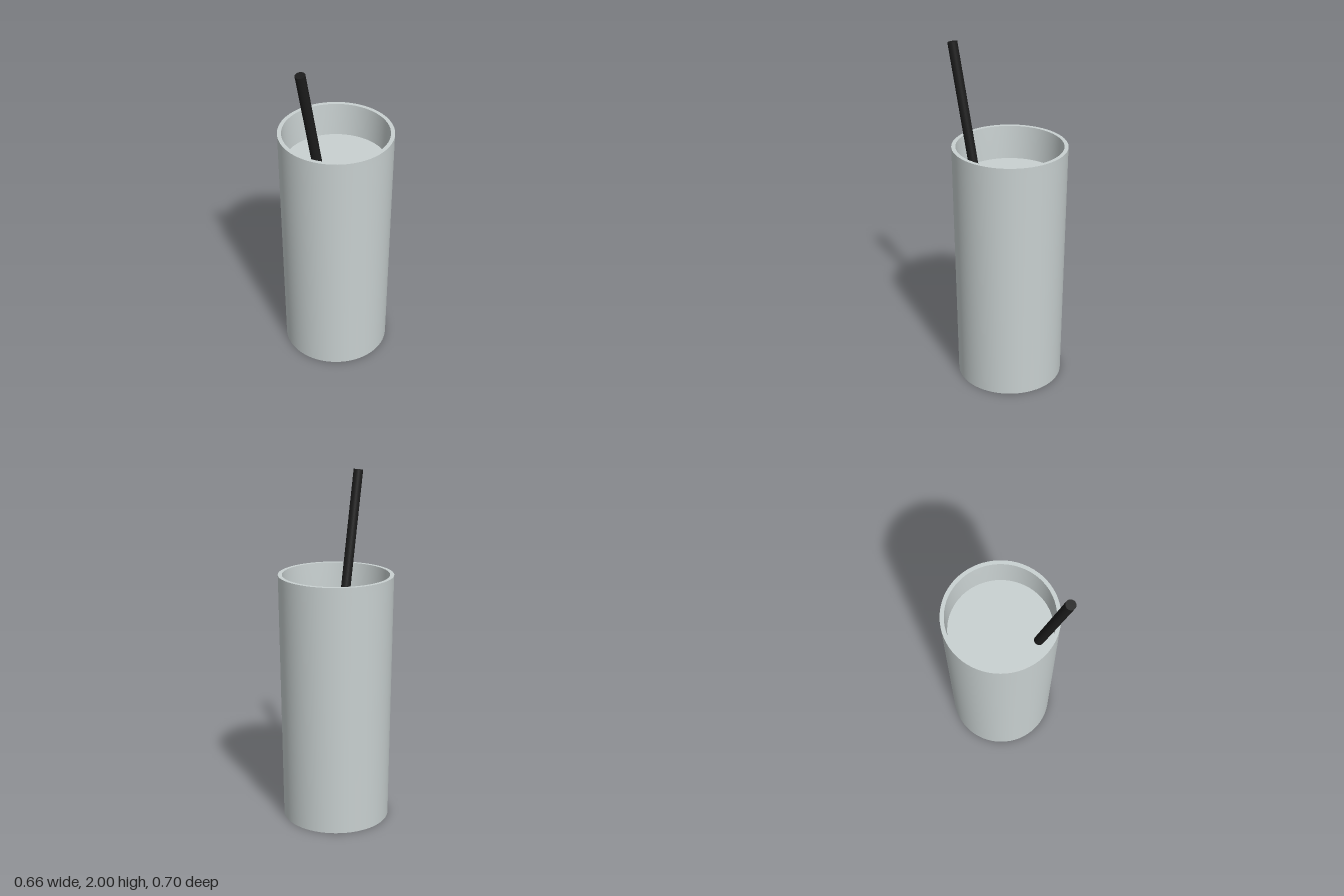
import * as THREE from 'three';
import { toCreasedNormals } from 'three/addons/utils/BufferGeometryUtils.js';

const SIDES = 64;
const CENTRE_Z = -0.022;
const LIQUID_Y = 1.255;

export function createModel() {
  const model = new THREE.Group();
  model.name = 'drinkingCup';

  const paleGrey = new THREE.MeshStandardMaterial({ color: 0xc9d1d1 });
  paleGrey.name = 'pale grey';
  const black = new THREE.MeshStandardMaterial({ color: 0x1c1c1c });
  black.name = 'black';

  function add(name, geometry, material) {
    const mesh = new THREE.Mesh(geometry, material);
    mesh.name = name;
    model.add(mesh);
    return mesh;
  }

  // Tapered tumbler: underside, outer wall, rim, inner wall and floor
  const profile = [
    [0, 0], [0.31, 0], [0.327, 1.41], [0.328, 1.455],
    [0.305, 1.455], [0.297, LIQUID_Y], [0.285, 0.06], [0, 0.06],
  ].map(([r, y]) => new THREE.Vector2(r, y));
  const cupGeometry = toCreasedNormals(new THREE.LatheGeometry(profile, SIDES), Math.PI / 6);
  add('cup', cupGeometry, paleGrey).position.z = CENTRE_Z;

  // Drink surface inside the cup
  const drinkGeometry = new THREE.CircleGeometry(0.297, SIDES).rotateX(-Math.PI / 2);
  add('drinkSurface', drinkGeometry, paleGrey).position.set(0, LIQUID_Y, CENTRE_Z);

  // Straight straw leaning out over the front right of the rim
  const top = new THREE.Vector3(-0.156, 1.994, 0.322);
  const foot = new THREE.Vector3(0.074, 0.1, -0.015);
  const axis = top.clone().sub(foot);
  const straw = add('straw', new THREE.CylinderGeometry(0.028, 0.028, axis.length(), 24), black);
  straw.position.copy(top).add(foot).multiplyScalar(0.5);
  straw.quaternion.setFromUnitVectors(new THREE.Vector3(0, 1, 0), axis.normalize());

  return model;
}
